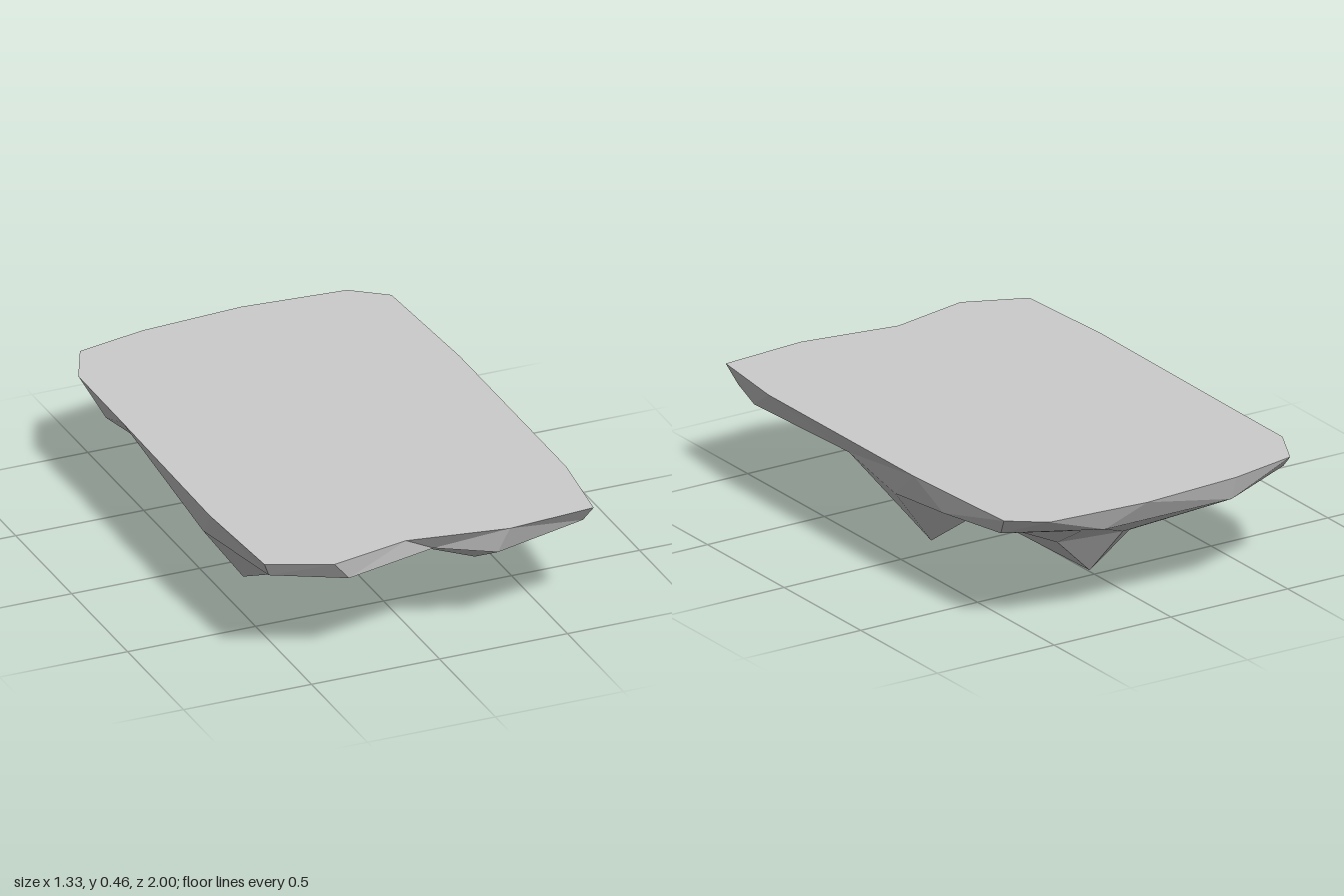
import * as THREE from 'three';

const TOP = 0.463;

// Edge of the flat top: [x, y, z]
const outline = [
  [-0.57, -0.91], [-0.3, -0.97], [0.1, -1], [0.5, -0.97], [0.63, -0.87],
  [0.66, -0.33], [0.66, 0.62], [0.62, 0.96], [0.28, 0.99], [-0.1, 0.93],
  [-0.41, 1], [-0.64, 0.9], [-0.665, 0.47], [-0.657, -0.33], [-0.655, -0.73],
].map(([x, z]) => [x, TOP, z]);

// Chipped rim just under the top edge, in the same order
const rim = [
  [-0.59, 0.4, -0.835], [-0.3, 0.37, -0.94], [0.25, 0.375, -0.95], [0.61, 0.395, -0.82],
  [0.64, 0.37, -0.49], [0.63, 0.335, -0.16], [0.61, 0.38, 0.17], [0.61, 0.36, 0.79],
  [0.6, 0.395, 0.91], [0.25, 0.355, 0.95], [0.02, 0.395, 0.9], [-0.34, 0.38, 0.97],
  [-0.61, 0.4, 0.87], [-0.63, 0.33, 0.33], [-0.6, 0.4, -0.28], [-0.63, 0.38, -0.54],
];

// Hanging rock tips
const tips = [
  [-0.03, 0, 0], [0, 0.005, -0.47], [0.475, 0.12, -0.16],
  [-0.47, 0.11, 0.32], [0.3, 0.178, 0.63], [-0.19, 0.11, -0.44],
];

// Hollows and ridges between the tips
const hollows = [
  [0.25, 0.32, -0.8], [0.53, 0.33, -0.5], [0.19, 0.18, -0.55], [-0.05, 0.19, -0.61],
  [0.28, 0.19, -0.17], [0, 0.1, -0.19], [-0.22, 0.11, 0], [-0.38, 0.16, 0.2],
  [0.33, 0.29, 0.22], [0.17, 0.24, 0.45], [-0.02, 0.25, 0.32], [-0.3, 0.27, 0.46],
  [0, 0.32, 0.7], [-0.31, 0.26, 0.65], [-0.46, 0.325, 0.75],
];

// Band of triangles between two closed loops, always taking the shorter diagonal
function stitch(outer, inner) {
  const triangles = [];
  const at = (loop, i) => loop[i % loop.length];
  const gap = (p, q) => Math.hypot(p[0] - q[0], p[1] - q[1], p[2] - q[2]);
  let i = 0, j = 0;
  while (i < outer.length || j < inner.length) {
    const o = at(outer, i), n = at(inner, j);
    const nextO = at(outer, i + 1), nextN = at(inner, j + 1);
    if (j === inner.length || (i < outer.length && gap(nextO, n) < gap(o, nextN))) {
      triangles.push([o, nextO, n]);
      i++;
    } else {
      triangles.push([o, nextN, n]);
      j++;
    }
  }
  return triangles;
}

// Delaunay triangulation in plan of a border loop and the points inside it
function fill(border, inside) {
  const p = [...border, ...inside];
  const triangles = [];
  for (let a = 0; a < p.length; a++)
    for (let b = a + 1; b < p.length; b++)
      for (let c = b + 1; c < p.length; c++) {
        const bx = p[b][0] - p[a][0], bz = p[b][2] - p[a][2];
        const cx = p[c][0] - p[a][0], cz = p[c][2] - p[a][2];
        const d = 2 * (bx * cz - bz * cx);
        // skip flat triangles and those lying outside the border
        if (Math.abs(d) < 1e-7 || (c < border.length && d < 0)) continue;
        const b2 = bx * bx + bz * bz, c2 = cx * cx + cz * cz;
        const ux = (cz * b2 - bz * c2) / d, uz = (bx * c2 - cx * b2) / d;
        const r2 = ux * ux + uz * uz;
        const empty = p.every((q, i) => i === a || i === b || i === c ||
          (q[0] - p[a][0] - ux) ** 2 + (q[2] - p[a][2] - uz) ** 2 > r2 - 1e-9);
        if (empty) triangles.push(d > 0 ? [p[a], p[b], p[c]] : [p[a], p[c], p[b]]);
      }
  return triangles;
}

export function createModel() {
  const group = new THREE.Group();
  group.name = 'rockSlab';
  const material = new THREE.MeshStandardMaterial({
    color: 0xcccccc, flatShading: true, side: THREE.DoubleSide,
  });

  const addPart = (name, geometry) => {
    const mesh = new THREE.Mesh(geometry, material);
    mesh.name = name;
    group.add(mesh);
  };
  const facets = (triangles) => {
    const geometry = new THREE.BufferGeometry();
    geometry.setAttribute('position', new THREE.Float32BufferAttribute(triangles.flat(2), 3));
    geometry.computeVertexNormals();
    return geometry;
  };

  // Flat top surface
  const shape = new THREE.Shape(outline.map(([x, , z]) => new THREE.Vector2(x, -z)));
  addPart('flatTop', new THREE.ShapeGeometry(shape).rotateX(-Math.PI / 2).translate(0, TOP, 0));

  // Chipped edge and the craggy underside
  addPart('chippedEdge', facets(stitch(outline, rim)));
  addPart('rockUnderside', facets(fill(rim, [...tips, ...hollows])));

  return group;
}
